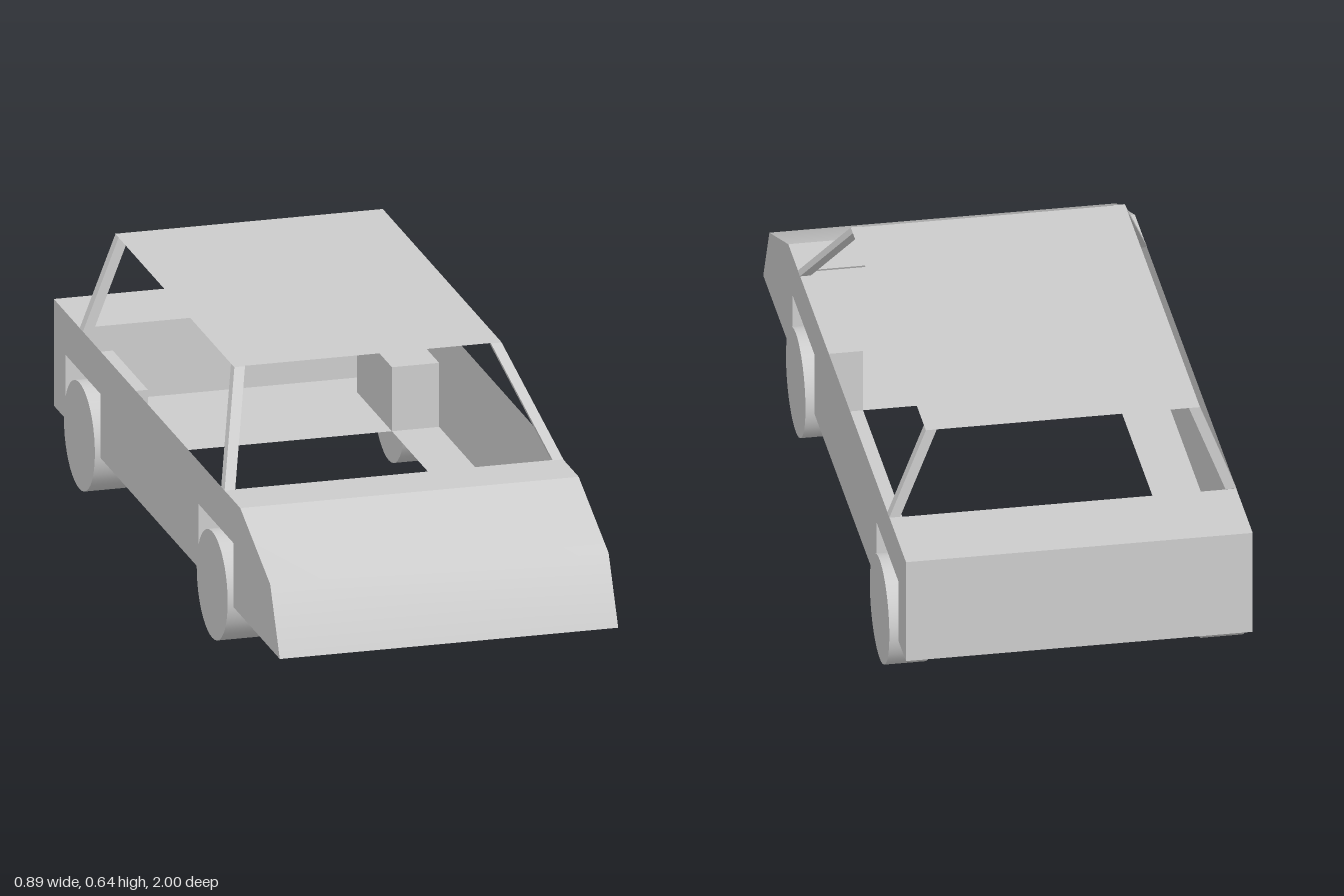
import * as THREE from 'three';

const material = new THREE.MeshStandardMaterial({ color: 0xcccccc, side: THREE.DoubleSide });

const W = 0.43;                 // half width of the body
const INNER = 0.31;             // inner face of the wheel wells
const FLOOR = 0.13, WELL = 0.295, SILL = 0.405, ROOF = 0.64;
const wells = [[0.59, 0.28], [-0.585, -0.895]]; // front and rear end of each well

function addMesh(parent, name, geometry) {
  const mesh = new THREE.Mesh(geometry, material);
  mesh.name = name;
  parent.add(mesh);
  return mesh;
}

// Strip across x from (y, z) points; points shared by panels are shaded smoothly.
// Points run so that the outside is above a strip going from front to back.
function strip(points, x0, x1) {
  const pos = [], index = [];
  points.forEach(([y, z], i) => {
    pos.push(x0, y, z, x1, y, z);
    if (i) {
      const a = 2 * i - 2;
      index.push(a, a + 1, a + 2, a + 1, a + 3, a + 2);
    }
  });
  const g = new THREE.BufferGeometry();
  g.setAttribute('position', new THREE.Float32BufferAttribute(pos, 3));
  g.setIndex(index);
  g.computeVertexNormals();
  return g;
}

// Slanted post: a box whose lower and upper ends are moved to their places
function post(bottom, top, wx, wz) {
  const g = new THREE.BoxGeometry(wx, ROOF - SILL, wz);
  const p = g.attributes.position;
  for (let i = 0; i < p.count; i++) {
    const end = p.getY(i) > 0 ? top : bottom;
    p.setXYZ(i, p.getX(i) + end[0], end[1], p.getZ(i) + end[2]);
  }
  const flat = g.toNonIndexed();
  flat.computeVertexNormals();
  return flat;
}

export function createModel() {
  const car = new THREE.Group();
  car.name = 'car';
  const body = new THREE.Group();
  body.name = 'body';
  body.position.x = -0.005;
  car.add(body);

  // Hollow shell: nose, bonnet, boot lid and tail
  addMesh(body, 'nose', strip([[FLOOR, 1], [WELL, 0.915], [SILL, 0.65]], -W, W));
  addMesh(body, 'bonnet', strip([[SILL, 0.65], [SILL, 0.51]], -W, W));
  addMesh(body, 'bootLid', strip([[SILL, -0.77], [SILL, -1]], -W, W));
  addMesh(body, 'tail', strip([[SILL, -1], [FLOOR, -1]], -W, W));

  // Floor, open in the middle and cut out at the wells
  const floorPanels = [
    [1, 0.59, -W, W], [0.59, 0.28, -INNER, INNER],
    [0.28, -0.585, -W, -INNER], [0.28, -0.585, INNER, W],
    [-0.585, -0.895, -INNER, INNER], [-0.895, -1, -W, W],
  ];
  for (const [front, back, x0, x1] of floorPanels) {
    addMesh(body, 'floorPanel', strip([[FLOOR, back], [FLOOR, front]], x0, x1));
  }

  // Side outline with a notch at each wheel
  const outline = [[1, FLOOR], [0.915, WELL], [0.65, SILL], [-1, SILL], [-1, FLOOR]];
  for (const [front, back] of [...wells].reverse()) {
    outline.push([back, FLOOR], [back, WELL], [front, WELL], [front, FLOOR]);
  }
  const sideShape = new THREE.Shape(outline.map(([z, y]) => new THREE.Vector2(z, y)));

  for (const s of [-1, 1]) {
    const side = s > 0 ? 'left' : 'right';
    const panel = addMesh(body, side + 'SidePanel', new THREE.ShapeGeometry(sideShape).rotateY(-Math.PI / 2));
    panel.position.x = s * W;

    for (const [front, back] of wells) {
      // Wheel well: front, top and back walls plus the inner wall
      const well = new THREE.Group();
      well.name = side + 'WheelWell';
      body.add(well);
      const x0 = Math.min(s * INNER, s * W), x1 = Math.max(s * INNER, s * W);
      addMesh(well, 'wellFront', strip([[FLOOR, front], [WELL, front]], x0, x1));
      addMesh(well, 'wellTop', strip([[WELL, front], [WELL, back]], x0, x1));
      addMesh(well, 'wellBack', strip([[WELL, back], [FLOOR, back]], x0, x1));
      const inner = addMesh(well, 'wellInner',
        new THREE.PlaneGeometry(front - back, WELL - FLOOR).rotateY(-s * Math.PI / 2));
      inner.position.set(s * INNER, (WELL + FLOOR) / 2, (front + back) / 2);

      // Wheel
      const wheel = addMesh(car, side + 'Wheel',
        new THREE.CylinderGeometry(0.137, 0.137, 0.103, 40).rotateZ(Math.PI / 2));
      wheel.position.set(s * 0.393, 0.138, (front + back) / 2);
    }

    // Roof posts
    addMesh(body, side + 'FrontPost', post([s * 0.417, SILL, 0.498], [s * 0.326, ROOF, 0.268], 0.027, 0.03));
    addMesh(body, side + 'RearPost', post([s * 0.417, SILL, -0.755], [s * 0.326, ROOF, -0.755], 0.027, 0.028));
  }

  // Thin flat roof
  addMesh(body, 'roof', strip([[ROOF, 0.28], [ROOF, -0.77]], -0.34, 0.34));
  return car;
}
